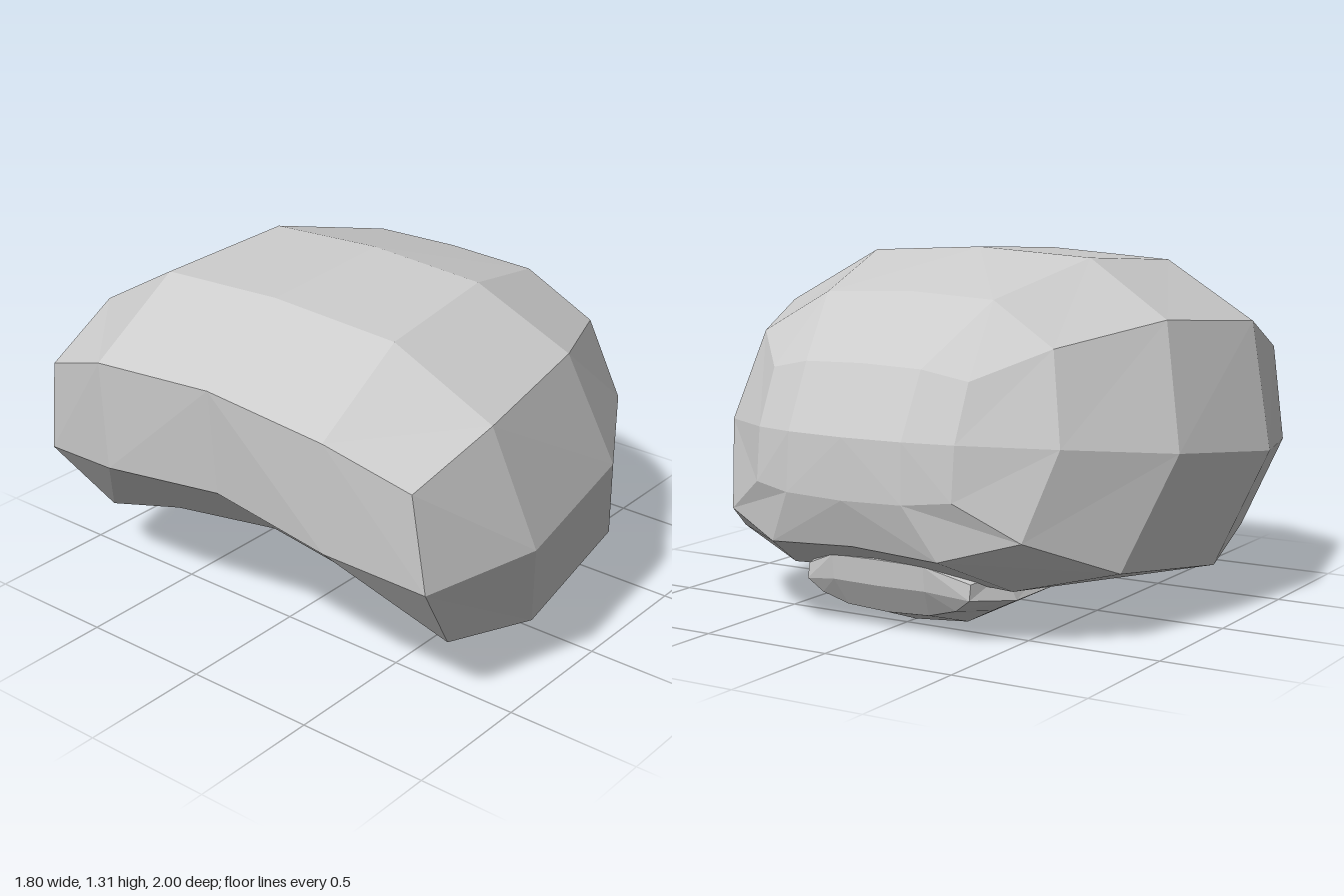
import * as THREE from 'three';

const material = new THREE.MeshStandardMaterial({ color: 0xcccccc, flatShading: true });

// Skins z-symmetric 12-sided rings. Each ring lists 7 points [x, y, z] from top centre
// round the +z side to bottom centre; caps hold the centre and side points of each end grid.
function loft(name, rings, startCap, endCap) {
  const pos = [];
  const index = [];
  const add = (x, y, z) => pos.push(x, y, z) / 3 - 1;
  const quad = (a, b, c, d, flip) =>
    index.push(...(flip ? [a, b, d, b, c, d] : [a, b, c, a, c, d]));

  const ids = rings.map((half) =>
    Array.from({ length: 12 }, (_, j) => {
      const [x, y, z] = half[j <= 6 ? j : 12 - j];
      return add(x, y, j <= 6 ? z : -z);
    }));

  for (let i = 0; i < ids.length - 1; i++) {
    for (let j = 0; j < 12; j++) {
      const k = (j + 1) % 12;
      quad(ids[i][j], ids[i][k], ids[i + 1][k], ids[i + 1][j], j >= 6);
    }
  }

  // End grid: 3 rows by 5 columns
  const cap = (r, [centre, side], reverse) => {
    const [x, y, z] = side;
    const rows = [
      [r[2], r[1], r[0], r[11], r[10]],
      [r[3], add(x, y, z), add(...centre), add(x, y, -z), r[9]],
      [r[4], r[5], r[6], r[7], r[8]],
    ];
    for (let i = 0; i < 2; i++) {
      for (let j = 0; j < 4; j++) {
        const tl = rows[i][j], tr = rows[i][j + 1];
        const bl = rows[i + 1][j], br = rows[i + 1][j + 1];
        if (reverse) quad(tl, tr, br, bl, j < 2);
        else quad(tl, bl, br, tr, j < 2);
      }
    }
  };
  cap(ids[0], startCap, true);
  cap(ids[ids.length - 1], endCap, false);

  const geometry = new THREE.BufferGeometry();
  geometry.setAttribute('position', new THREE.Float32BufferAttribute(pos, 3));
  geometry.setIndex(index);
  const flat = geometry.toNonIndexed();
  flat.computeVertexNormals();
  const mesh = new THREE.Mesh(flat, material);
  mesh.name = name;
  return mesh;
}

export function createModel() {
  const group = new THREE.Group();
  group.name = 'roundedShell';

  // Main body, from the hollowed end (-x) to the domed end (+x)
  group.add(loft('mainBody', [
    [[-0.89, 1.055, 0], [-0.9, 1.02, 0.51], [-0.83, 0.91, 0.82], [-0.82, 0.555, 0.87],
      [-0.6, 0.25, 0.8], [-0.55, 0.31, 0.5], [-0.57, 0.4, 0]],
    [[-0.54, 1.28, 0], [-0.53, 1.25, 0.51], [-0.485, 1.04, 0.88], [-0.385, 0.58, 1],
      [-0.2, 0.175, 0.87], [0, 0.115, 0.5], [0, 0.16, 0]],
    [[0, 1.31, 0], [0, 1.285, 0.46], [0.07, 1.085, 0.8], [0.205, 0.645, 0.92],
      [0.4, 0.25, 0.8], [0.54, 0.175, 0.46], [0.55, 0.2, 0]],
    [[0.47, 1.18, 0], [0.48, 1.165, 0.345], [0.515, 1.015, 0.6], [0.61, 0.695, 0.68],
      [0.725, 0.39, 0.6], [0.835, 0.318, 0.34], [0.84, 0.337, 0]],
    [[0.77, 0.957, 0], [0.765, 0.95, 0.235], [0.73, 0.915, 0.4], [0.82, 0.715, 0.4],
      [0.84, 0.525, 0.4], [0.89, 0.51, 0.235], [0.9, 0.505, 0]],
  ],
  [[-0.86, 0.66, 0], [-0.89, 0.61, 0.5]],
  [[0.895, 0.72, 0], [0.88, 0.72, 0.23]]));

  // Small lobe tucked under the domed end
  group.add(loft('lowerLobe', [
    [[-0.13, 0.24, 0], [-0.13, 0.22, 0.2], [-0.15, 0.18, 0.32], [-0.165, 0.135, 0.36],
      [-0.165, 0.12, 0.28], [-0.165, 0.115, 0.2], [-0.165, 0.115, 0]],
    [[0.13, 0.32, 0], [0.13, 0.3, 0.22], [0.12, 0.22, 0.38], [0.11, 0.125, 0.43],
      [0.11, 0.07, 0.32], [0.11, 0.02, 0.22], [0.11, 0.008, 0]],
    [[0.47, 0.34, 0], [0.47, 0.32, 0.22], [0.46, 0.22, 0.38], [0.445, 0.12, 0.42],
      [0.445, 0.07, 0.32], [0.445, 0.018, 0.22], [0.445, 0, 0]],
    [[0.7, 0.265, 0], [0.69, 0.26, 0.19], [0.62, 0.2, 0.34], [0.63, 0.145, 0.34],
      [0.62, 0.1, 0.28], [0.62, 0.07, 0.17], [0.625, 0.063, 0]],
  ],
  [[-0.16, 0.17, 0], [-0.16, 0.16, 0.2]],
  [[0.69, 0.17, 0], [0.68, 0.17, 0.19]]));

  return group;
}
